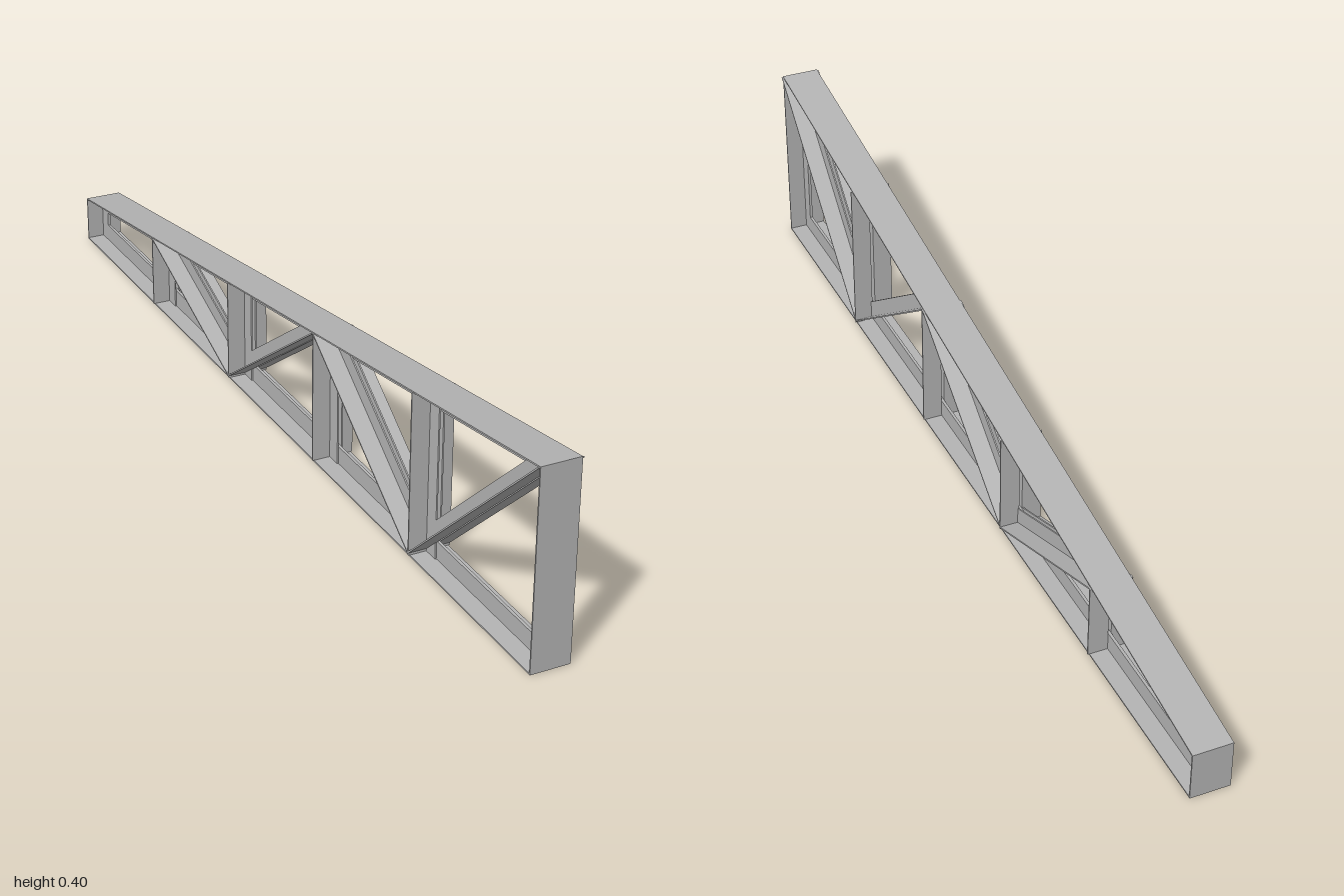
import * as THREE from 'three';

const T = 0.003;                         // steel thickness
const topY = z => 0.2515 + 0.15 * z;     // sloping top line of the truss

// Flat plate: outline in (z, y), thickness from x0 to x1
function plate(points, x0, x1, material, name) {
  const shape = new THREE.Shape(points.map(([z, y]) => new THREE.Vector2(z, y)));
  const geo = new THREE.ExtrudeGeometry(shape, { depth: x1 - x0, bevelEnabled: false });
  geo.rotateY(-Math.PI / 2).translate(x1, 0, 0);
  const mesh = new THREE.Mesh(geo, material);
  mesh.name = name;
  return mesh;
}

export function createModel() {
  const group = new THREE.Group();
  group.name = 'trussGirder';
  const steel = new THREE.MeshStandardMaterial({ color: 0xb4b4b4 });
  steel.name = 'grey steel';

  // Pair of back-to-back angles; outline(h) gives the side outline for a depth h
  function doubleAngle(name, outline, inner, outer, depth) {
    const member = new THREE.Group();
    member.name = name;
    for (const side of [1, -1]) {
      const add = (points, a, b, part) => member.add(
        plate(points, Math.min(a * side, b * side), Math.max(a * side, b * side), steel, part));
      add(outline(depth), inner, inner + T, name + 'Leg');
      add(outline(T), inner, outer, name + 'Flange');
    }
    group.add(member);
  }

  // Chords, with the flanges on the outside
  doubleAngle('bottomChord', h => [[-1, 0], [1, 0], [1, h], [-1, h]], 0, 0.04, 0.04);
  doubleAngle('topChord', h => [
    [-1, topY(-1) - h], [1, topY(1) - h], [1, topY(1)], [-1, topY(-1)]], 0, 0.04, 0.036);

  // Upright with its flange at z, its leg reaching towards dir
  const upright = (z, dir, y0, gap) => h => {
    const z2 = z + dir * h;
    return [[z, y0], [z2, y0], [z2, topY(z2) - gap], [z, topY(z) - gap]];
  };
  doubleAngle('frontPost', upright(1, -1, 0, 0), 0, 0.04, 0.033);
  doubleAngle('backPost', upright(-1, 1, 0, 0), 0, 0.04, 0.035);
  const nodes = [0.575, 0.184, -0.207, -0.603];
  nodes.forEach((z, i) =>
    doubleAngle('vertical' + (i + 1), upright(z, 1, 0.003, 0.002), T, 0.0435, 0.035));

  // Diagonal from a bottom node to a top node, flange along its lower edge,
  // upper end trimmed to the top chord
  const diagonal = (za, zb) => h => {
    const ya = 0.005, yb = topY(zb) - 0.002;
    const m = (yb - ya) / (zb - za);
    const v = h * Math.hypot(1, m);
    const zc = (topY(0) - 0.002 - ya - v + m * za) / (m - 0.15);
    return [[za, ya], [zb, yb], [zc, topY(zc) - 0.002], [za, ya + v]];
  };
  [[nodes[0], 1], [nodes[0], nodes[1]], [nodes[2], nodes[1]], [nodes[2], nodes[3]]]
    .forEach(([a, b], i) =>
      doubleAngle('diagonal' + (i + 1), diagonal(a, b), T, 0.0435, 0.035));

  return group;
}
